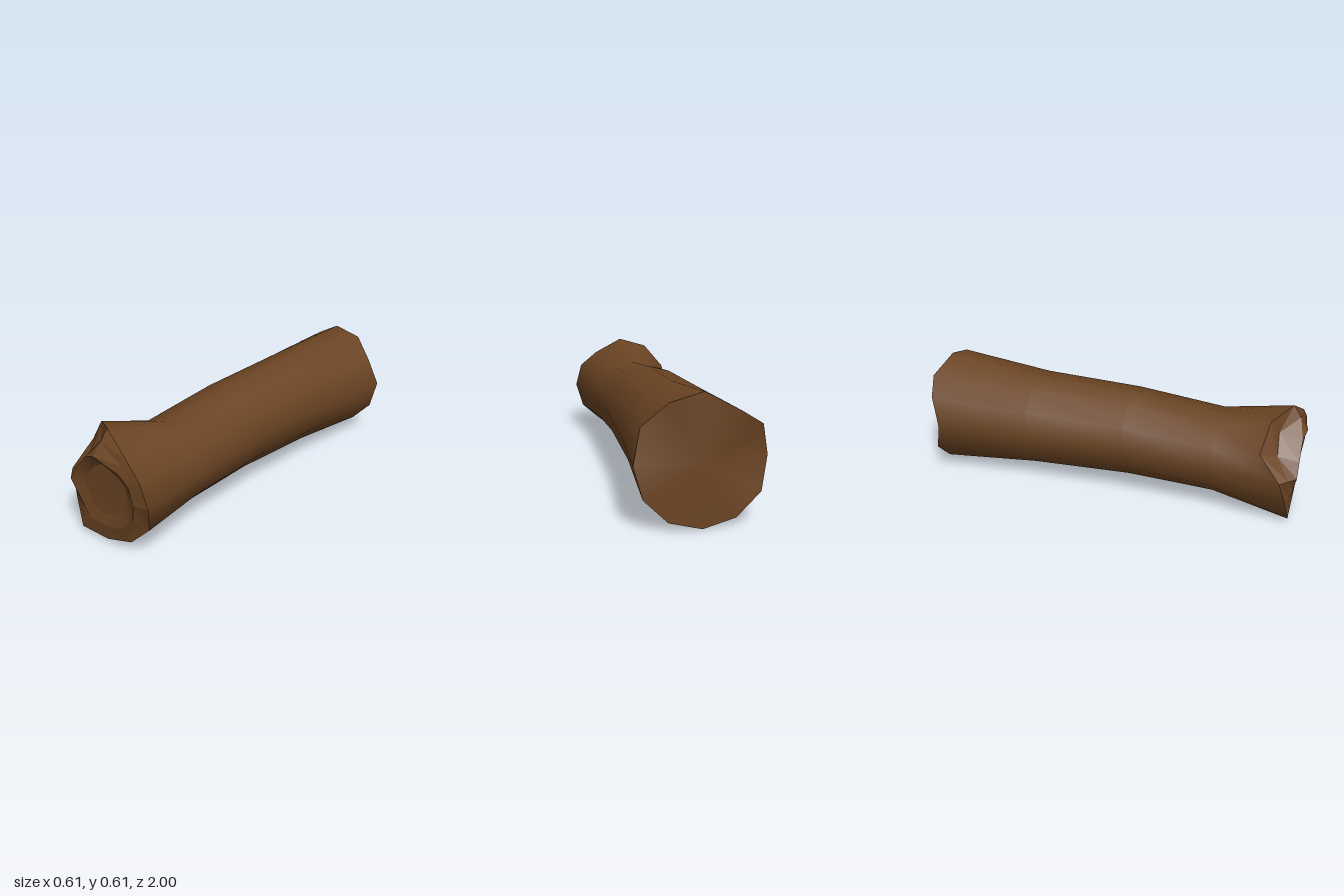
import * as THREE from 'three';

const SIDES = 12;

// Skins a list of 12-point rings, ordered from back to front
function loft(rings, flat) {
  const index = [];
  for (let i = 0; i < rings.length - 1; i++) {
    for (let k = 0; k < SIDES; k++) {
      const n = (k + 1) % SIDES;
      const a = i * SIDES + k, b = i * SIDES + n;
      const c = a + SIDES, d = b + SIDES;
      index.push(a, c, b, b, c, d);
    }
  }
  let geo = new THREE.BufferGeometry();
  geo.setAttribute('position', new THREE.Float32BufferAttribute(rings.flat(2), 3));
  geo.setIndex(index);
  if (flat) geo = geo.toNonIndexed();
  geo.computeVertexNormals();
  return geo;
}

// Regular ring, starting at the top and turning towards +x
function ring(rx, ry, cy, z) {
  return Array.from({ length: SIDES }, (_, k) => {
    const a = (k / SIDES) * Math.PI * 2;
    return [rx * Math.sin(a), cy + ry * Math.cos(a), z];
  });
}

// Closes a ring with a fan around one middle point
function fan(rim, centre, front) {
  const pts = [...rim, centre], index = [];
  for (let k = 0; k < SIDES; k++) {
    const n = (k + 1) % SIDES;
    index.push(...(front ? [n, k, SIDES] : [k, n, SIDES]));
  }
  const geo = new THREE.BufferGeometry();
  geo.setAttribute('position', new THREE.Float32BufferAttribute(pts.flat(), 3));
  geo.setIndex(index);
  geo.computeVertexNormals();
  return geo;
}

const mix = (p, q, t) => p.map((v, i) => v + (q[i] - v) * t);

export function createModel() {
  const group = new THREE.Group();
  const bark = new THREE.MeshStandardMaterial({ color: 0x6b4423 });
  bark.name = 'brown wood';
  const add = (name, geo) => {
    const mesh = new THREE.Mesh(geo, bark);
    mesh.name = name;
    group.add(mesh);
  };

  // Wide back end with two knocked corners
  const back = ring(0.305, 0.304, 0.305, -0.955);
  back[2][2] = -0.905;
  back[9][2] = -0.91;
  back[10][2] = -0.955;
  back[11] = [-0.15, 0.53, -1];

  // Broken front edge
  const front = [
    [0, 0.57, 0.92], [0.15, 0.483, 0.96], [0.247, 0.4, 0.975], [0.283, 0.275, 0.965],
    [0.247, 0.145, 0.93], [0.145, 0.053, 0.95], [0, 0.02, 0.962], [-0.177, 0.023, 0.962],
    [-0.23, 0.15, 0.94], [-0.285, 0.278, 0.91], [-0.248, 0.405, 0.8], [-0.142, 0.535, 0.83],
  ];

  // Raised lip around the shallow hollow in the front
  const lip = [
    [-0.015, 0.455, 1], [0.125, 0.405, 0.985], [0.185, 0.36, 0.985], [0.208, 0.275, 0.98],
    [0.185, 0.19, 0.97], [0.11, 0.12, 0.968], [0, 0.092, 0.968], [-0.11, 0.1, 0.968],
    [-0.17, 0.19, 0.97], [-0.207, 0.278, 0.985], [-0.165, 0.35, 0.985], [-0.087, 0.427, 0.985],
  ];

  // Step between edge and lip, cut deeper at the upper right chip
  const step = front.map((p, k) => mix(p, lip[k], 0.5));
  step[10] = [-0.183, 0.372, 0.88];
  step[11] = [-0.107, 0.463, 0.87];

  add('trunk', loft([
    back,
    ring(0.255, 0.253, 0.298, -0.43),
    ring(0.236, 0.234, 0.299, 0.1),
    ring(0.235, 0.215, 0.266, 0.56),
    front,
  ], false));
  add('backEnd', fan(back, [0, 0.3, -0.96], false));
  add('brokenRim', loft([front, step, lip], true));

  // Hollow
  const floor = lip.map((p) => {
    const q = mix(p, [0, 0.275, 0.95], 0.3);
    return [q[0], q[1], 0.955];
  });
  add('hollowWall', loft([lip, floor], false));
  add('hollowFloor', fan(floor, [0, 0.275, 0.95], true));

  return group;
}
